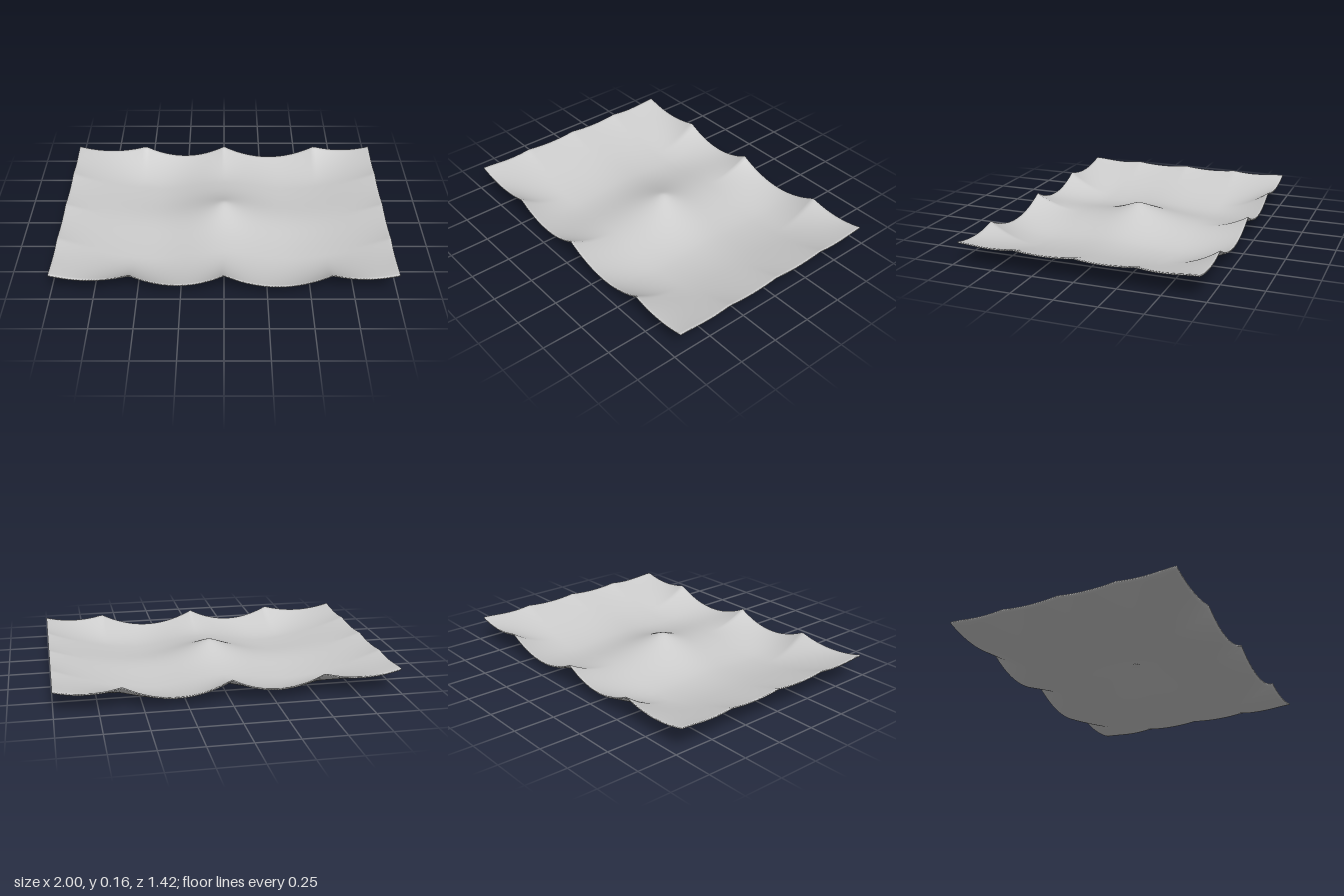
import * as THREE from 'three';
import { mergeVertices } from 'three/addons/utils/BufferGeometryUtils.js';

const HALF_X = 1, HALF_Z = 0.71, THICKNESS = 0.01;

// Height of an edge hanging in arcs between pins; sags[i] is the dip after pins[i].
function scallop(s, pins, sags, top) {
  let i = 0;
  while (i < sags.length - 1 && s > pins[i + 1]) i++;
  const t = (s - pins[i]) / (pins[i + 1] - pins[i]);
  return top - sags[i] * 4 * t * (1 - t);
}

// Height of the cloth's middle surface.
function clothHeight(x, z) {
  const ax = Math.abs(x), az = Math.abs(z);

  // two long hollows, left and right of the middle
  let h = ax > 0.4
    ? 0.14 * Math.pow((ax - 0.4) / 0.6, 1.7)
    : 0.02 * (1 + Math.cos(Math.PI * ax / 0.4));

  // raised centre point with a soft ridge across
  const r = Math.sqrt(x * x + z * z + 0.0009);
  h += 0.11 * Math.exp(-r / 0.2);
  h += 0.02 * Math.exp(-((z / 0.2) ** 2)) * (1 - x * x);

  // side edges
  const side = scallop(z, [-0.71, -0.36, 0, 0.36, 0.71], [0.013, 0.013, 0.013, 0.013], 0);
  h += side * Math.max(0, (ax - 0.7) / 0.3) ** 2;

  // front and back edges
  const edge = scallop(x, [-1, -0.54, 0, 0.62, 1], [0.034, 0.072, 0.082, 0.026], 0.142);
  const w = Math.min(1, Math.max(0, (az - 0.38) / (HALF_Z - 0.38)) ** 2);
  return h + (edge - h) * w;
}

export function createModel() {
  const group = new THREE.Group();
  group.name = 'hangingCloth';

  // thin sheet with shared vertices, so its rim shades softly
  let geometry = new THREE.BoxGeometry(2 * HALF_X, THICKNESS, 2 * HALF_Z, 120, 1, 88);
  geometry.deleteAttribute('uv');
  geometry.deleteAttribute('normal');
  geometry = mergeVertices(geometry);

  const p = geometry.attributes.position;
  for (let i = 0; i < p.count; i++) {
    p.setY(i, p.getY(i) + clothHeight(p.getX(i), p.getZ(i)));
  }
  geometry.computeBoundingBox();
  geometry.translate(0, -geometry.boundingBox.min.y, 0);
  geometry.computeVertexNormals();

  const cloth = new THREE.Mesh(geometry, new THREE.MeshStandardMaterial({ color: 0xcccccc }));
  cloth.name = 'cloth';
  group.add(cloth);
  return group;
}
